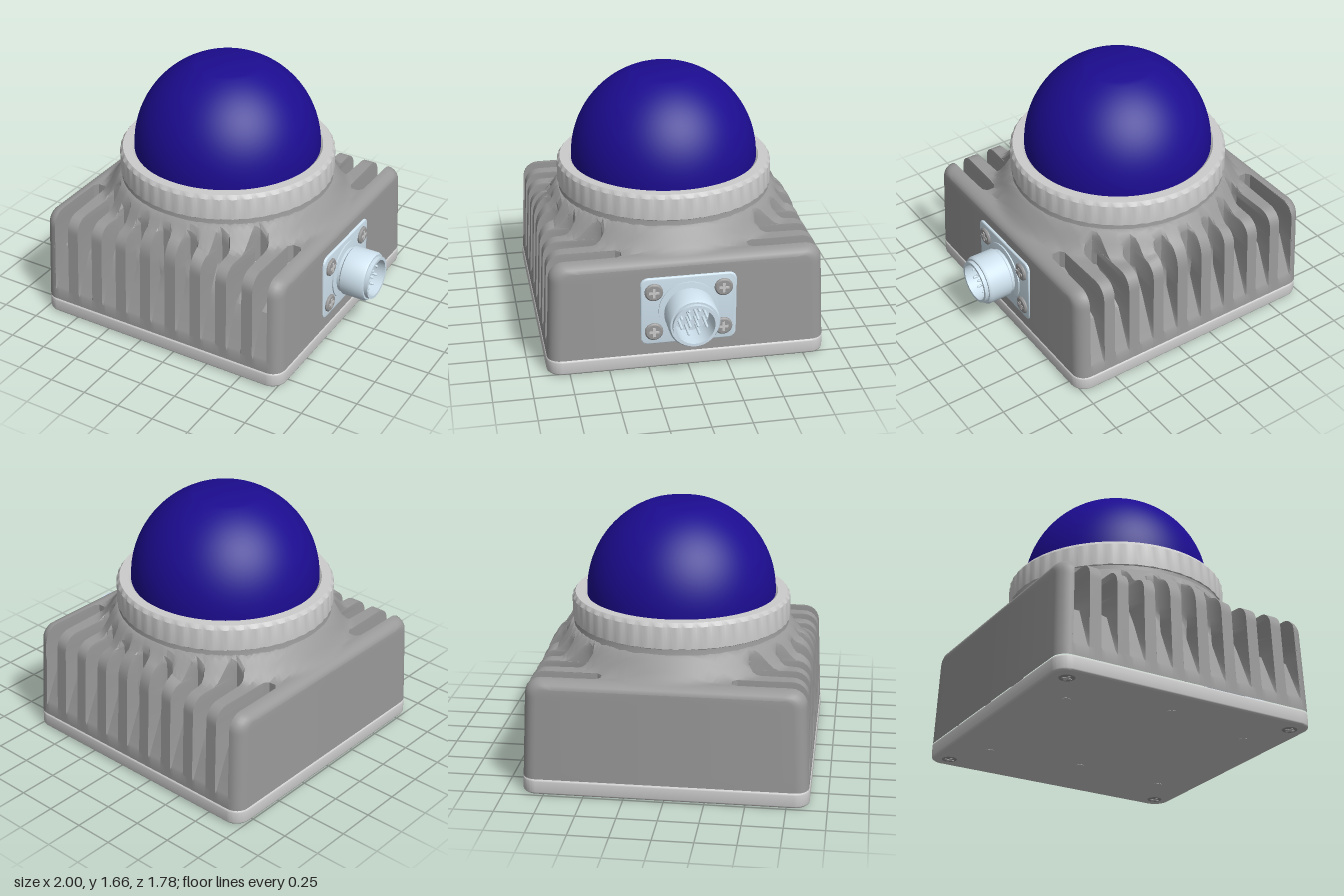
import * as THREE from 'three';
import { toCreasedNormals } from 'three/addons/utils/BufferGeometryUtils.js';

const CX = -0.11;            // centre of the housing
const HALF = 0.885;          // half width of the housing
const grey = new THREE.MeshStandardMaterial({ color: 0xcccccc });
const dark = new THREE.MeshStandardMaterial({ color: 0x999999 });
const blue = new THREE.MeshStandardMaterial({ color: 0x1c0c90 });
const steel = new THREE.MeshStandardMaterial({ color: 0xcfe2ee });

function add(parent, name, geo, mat, x = 0, y = 0, z = 0) {
  const m = new THREE.Mesh(geo, mat);
  m.name = name;
  m.position.set(x, y, z);
  parent.add(m);
  return m;
}

const crease = (geo, a = 0.6) => toCreasedNormals(geo, a);
const lathe = (pts, n = 64) => crease(new THREE.LatheGeometry(pts.map(p => new THREE.Vector2(...p)), n));

function roundedRect(w, h, r) {
  const s = new THREE.Shape(), a = w / 2, b = h / 2;
  s.absarc(a - r, b - r, r, 0, Math.PI / 2);
  s.absarc(-a + r, b - r, r, Math.PI / 2, Math.PI);
  s.absarc(-a + r, -b + r, r, Math.PI, Math.PI * 1.5);
  s.absarc(a - r, -b + r, r, Math.PI * 1.5, Math.PI * 2);
  return s;
}

function slab(w, h, r, depth, bevel) {
  return crease(new THREE.ExtrudeGeometry(roundedRect(w - 2 * bevel, h - 2 * bevel, r - bevel), {
    depth: depth - 2 * bevel, bevelThickness: bevel, bevelSize: bevel, bevelSegments: 3, curveSegments: 10,
  }).translate(0, 0, bevel));
}

// Height of the housing roof: flat shoulder rising to a round neck
function roof(dx, z) {
  const t = THREE.MathUtils.smoothstep(0.84 - Math.hypot(dx, z), 0, 0.15);
  return 0.74 + 0.15 * t;
}

// Depth of a cooling slot at height y
function slotFloor(y, inner) {
  if (y <= 0.17) return 1;
  if (y <= 0.45) return THREE.MathUtils.lerp(0.88, 0.76, (y - 0.17) / 0.28);
  return THREE.MathUtils.lerp(0.76, inner, Math.min(1, (y - 0.45) / 0.17));
}

// Cross-section of the housing in z and y, front foot over the roof to back foot
function section(dx, inset, inner) {
  const half = [];
  const wall = y => 0.885 - 0.045 * (y - 0.1) - inset;
  for (const y of [0.1, 0.17, 0.19, 0.26, 0.35, 0.45, 0.5, 0.56, 0.62]) half.push([wall(y), y]);
  const R = 0.1, z0 = wall(0.64) - R;
  for (let k = 0; k <= 6; k++) {
    const a = k / 6 * Math.PI / 2;
    half.push([z0 + R * Math.cos(a), 0.64 + R * Math.sin(a) + (roof(dx, z0) - 0.74) * k / 6 - inset * 0.7 * k / 6]);
  }
  for (let k = 1; k <= 24; k++) {
    const z = z0 * (1 - k / 24);
    half.push([z, roof(dx, z) - inset * 0.7]);
  }
  const cut = half.map(([z, y]) => [inner === null ? z : Math.min(z, slotFloor(y, inner)), y]);
  return [...cut, ...cut.slice(0, -1).reverse().map(([z, y]) => [-z, y])];
}

function housingGeometry() {
  const cols = [];
  const R = 0.085;
  const column = (dx, inset = 0, inner = null) => cols.push({ dx, pts: section(dx, inset, inner) });
  // Rounded end, ending in a flat side wall
  const end = side => {
    const list = [];
    for (let k = 0; k <= 6; k++) {
      const a = k / 6 * Math.PI / 2;
      const dx = side * (HALF - R * (1 - Math.cos(a))), inset = R * (1 - Math.sin(a));
      const pts = section(dx, inset, null);
      if (k === 0) list.push({ dx, pts: pts.map(([, y]) => [0, y]) });
      list.push({ dx, pts });
    }
    return side < 0 ? list : list.reverse();
  };
  cols.push(...end(-1));
  for (let k = -4; k <= 4; k++) {
    const c = k * 0.1875;
    const inner = Math.max(0.4, Math.sqrt(Math.max(0, 0.745 ** 2 - c * c)));
    column(c - 0.055);
    column(c - 0.047, 0, inner + 0.03);
    column(c - 0.025, 0, inner);
    column(c + 0.025, 0, inner);
    column(c + 0.047, 0, inner + 0.03);
    column(c + 0.055);
    if (k < 4) column(c + 0.094);
  }
  cols.push(...end(1));
  const n = cols[0].pts.length, pos = [], idx = [];
  cols.forEach(({ dx, pts }, i) => pts.forEach(([z, y], j) => {
    pos.push(CX + dx * (1 - 0.03 * (y - 0.1)), y, z);
    if (i < cols.length - 1 && j < n - 1) {
      const a = i * n + j, b = a + n;
      idx.push(a, b, a + 1, b, b + 1, a + 1);
    }
  }));
  const geo = new THREE.BufferGeometry();
  geo.setAttribute('position', new THREE.Float32BufferAttribute(pos, 3));
  geo.setIndex(idx);
  return crease(geo);
}

// Cross-head screw facing +y
function screw(r) {
  const g = new THREE.Group();
  g.name = 'screw';
  add(g, 'screwHead', lathe([[r, 0], [r, 0.008], [r * 0.85, 0.016], [0, 0.018]], 24), dark);
  for (const turn of [0, Math.PI / 2]) {
    add(g, 'screwCross', new THREE.BoxGeometry(r * 1.1, 0.006, r * 0.28), grey, 0, 0.017, 0).rotation.y = turn;
  }
  return g;
}

function connector() {
  const g = new THREE.Group();
  g.name = 'connector';
  // Local +y points out of the housing
  add(g, 'flange', slab(0.46, 0.61, 0.05, 0.08, 0.01).rotateX(-Math.PI / 2), steel, 0, -0.08, 0);
  add(g, 'barrel', lathe([
    [0.19, -0.01], [0.19, 0.008], [0.15, 0.012], [0.15, 0.03], [0.162, 0.04], [0.162, 0.185], [0.152, 0.2],
    [0.14, 0.2], [0.14, 0.225], [0.122, 0.225], [0.118, 0.06], [0, 0.06],
  ]), steel);
  add(g, 'key', new THREE.BoxGeometry(0.02, 0.13, 0.03), steel, -0.11, 0.125, 0);
  const pin = lathe([[0.009, 0], [0.009, 0.12], [0.005, 0.13], [0, 0.13]], 10);
  for (const [count, r] of [[8, 0.085], [4, 0.035]]) {
    for (let i = 0; i < count; i++) {
      const a = (i + 0.5) / count * Math.PI * 2;
      add(g, 'pin', pin, steel, r * Math.cos(a), 0.06, r * Math.sin(a));
    }
  }
  for (const u of [-0.137, 0.137]) for (const v of [-0.22, 0.22]) {
    const s = screw(0.058);
    s.position.set(u, 0, v);
    g.add(s);
  }
  g.rotation.z = -Math.PI / 2;
  g.position.set(0.775, 0.395, 0);
  return g;
}

export function createModel() {
  const model = new THREE.Group();
  model.name = 'domeBeacon';

  add(model, 'basePlate', slab(1.78, 1.78, 0.1, 0.1, 0.015).rotateX(-Math.PI / 2), grey, CX, 0, 0);
  add(model, 'finnedHousing', housingGeometry(), dark);
  add(model, 'neck', lathe([[0.72, 0.8], [0.695, 0.87], [0.69, 0.92]], 96), dark, CX);

  // Fluted clamp ring
  const ring = new THREE.LatheGeometry([
    [0.6, 0.905], [0.675, 0.905], [0.7, 0.92], [0.7, 1.06], [0.68, 1.085], [0.62, 1.085], [0.605, 1.07],
  ].map(p => new THREE.Vector2(...p)), 192);
  const p = ring.attributes.position;
  for (let i = 0; i < p.count; i++) {
    const x = p.getX(i), z = p.getZ(i), r = Math.hypot(x, z);
    if (r < 0.69) continue;
    const s = 1 - 0.004 * (1 + Math.cos(48 * Math.atan2(z, x)));
    p.setX(i, x * s);
    p.setZ(i, z * s);
  }
  add(model, 'clampRing', crease(ring), grey, CX);

  // Dome lens with a small flat crown
  const dome = [[0.605, 1.0]];
  const top = Math.acos(0.21 / 0.605);
  for (let k = 0; k <= 24; k++) {
    const a = k / 24 * top;
    dome.push([0.605 * Math.cos(a), 1.088 + 0.605 * Math.sin(a)]);
  }
  dome.push([0, dome[dome.length - 1][1]]);
  add(model, 'domeLens', lathe(dome, 96), blue, CX);

  model.add(connector());

  // Underside screws and small plugs
  for (const sx of [-1, 1]) for (const sz of [-1, 1]) {
    const s = screw(0.055);
    s.rotation.x = Math.PI;
    s.position.set(CX + sx * 0.78, 0.014, sz * 0.78);
    model.add(s);
  }
  const plug = new THREE.CylinderGeometry(0.025, 0.025, 0.01, 16);
  for (const [dx, z] of [[0.63, -0.5], [0, -0.45], [-0.63, -0.5], [0.63, 0.5], [0, 0.66], [-0.63, 0.5]]) {
    add(model, 'plug', plug, grey, CX + dx, 0.003, z);
  }
  return model;
}
